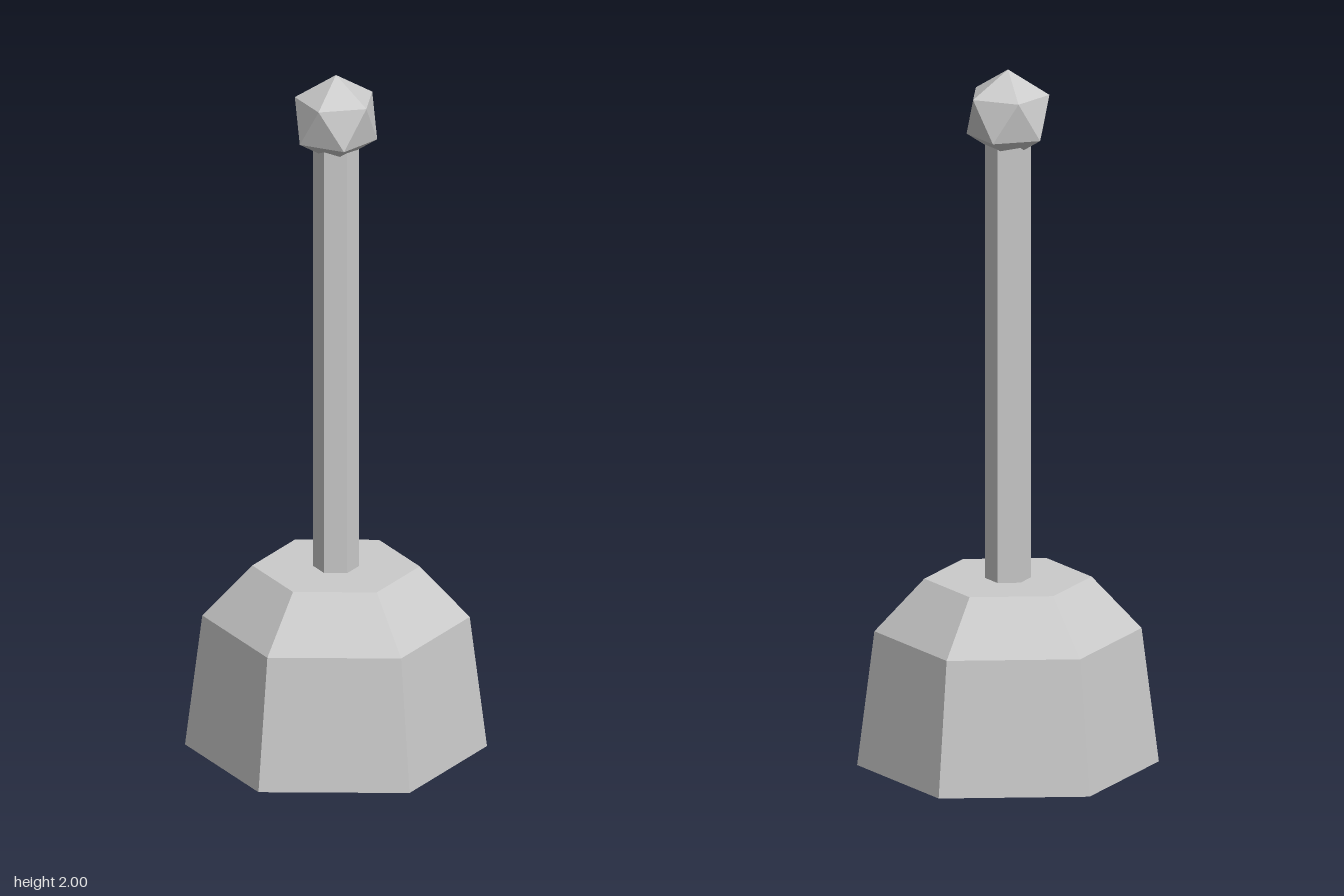
import * as THREE from 'three';

export function createModel() {
  const group = new THREE.Group();
  const material = new THREE.MeshStandardMaterial({ color: 0xcccccc, flatShading: true });

  const add = (name, geometry, y = 0) => {
    const mesh = new THREE.Mesh(geometry, material);
    mesh.name = name;
    mesh.position.y = y;
    group.add(mesh);
  };

  // Tapered hexagonal base with a bevelled shoulder, closed above and below
  const profile = [[0, 0], [0.42, 0], [0.372, 0.385], [0.233, 0.535], [0, 0.535]]
    .map(([r, y]) => new THREE.Vector2(r, y));
  add('base', new THREE.LatheGeometry(profile, 6));

  // Hexagonal shaft, its ends sunk into base and knob
  const bottom = 0.5, top = 1.82;
  add('shaft', new THREE.CylinderGeometry(0.064, 0.064, top - bottom, 6), (top + bottom) / 2);

  // Icosahedral knob standing on one vertex, one upper ring corner toward +x
  const radius = 0.129;
  const golden = (1 + Math.sqrt(5)) / 2;
  const knob = new THREE.IcosahedronGeometry(radius, 0).rotateZ(-Math.atan(1 / golden));
  add('knob', knob, 2 - radius);

  return group;
}
